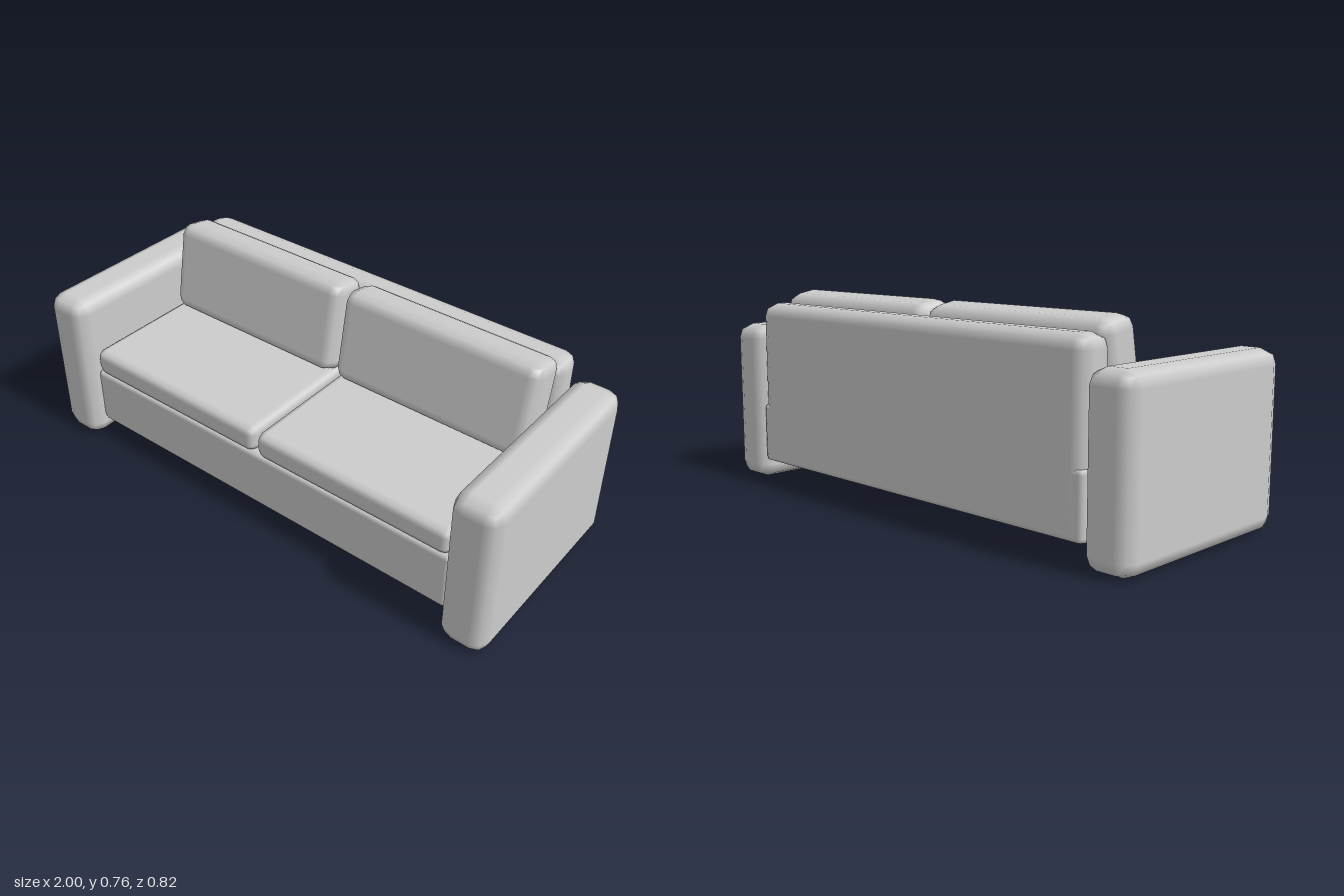
import * as THREE from 'three';
import { RoundedBoxGeometry } from 'three/addons/geometries/RoundedBoxGeometry.js';

const fabric = new THREE.MeshStandardMaterial({ color: 0xcccccc });
fabric.name = 'grey fabric';

// Softly bevelled block spanning the given [min, max] ranges
function block(name, x, y, z, radius) {
  const geometry = new RoundedBoxGeometry(x[1] - x[0], y[1] - y[0], z[1] - z[0], 1, radius);
  const mesh = new THREE.Mesh(geometry, fabric);
  mesh.name = name;
  mesh.position.set((x[0] + x[1]) / 2, (y[0] + y[1]) / 2, (z[0] + z[1]) / 2);
  return mesh;
}

export function createModel() {
  const sofa = new THREE.Group();
  sofa.name = 'sofa';

  // Frame
  sofa.add(block('base', [-0.823, 0.823], [0.078, 0.312], [-0.398, 0.355], 0.02));
  sofa.add(block('backrest', [-0.823, 0.823], [0.08, 0.71], [-0.4, -0.26], 0.05));

  // Mirrored arms and cushions
  for (const [side, s] of [['left', 1], ['right', -1]]) {
    const span = (a, b) => (s > 0 ? [a, b] : [-b, -a]);
    sofa.add(block(side + 'Arm', span(0.82, 1), [0, 0.62], [-0.409, 0.409], 0.055));
    sofa.add(block(side + 'SeatCushion', span(0.007, 0.813), [0.307, 0.41], [-0.27, 0.358], 0.03));

    // Back cushion leans against the backrest
    const cushion = block(side + 'BackCushion', span(0.007, 0.813), [0.393, 0.753], [-0.263, -0.103], 0.047);
    cushion.rotation.x = -0.18;
    sofa.add(cushion);
  }
  return sofa;
}
